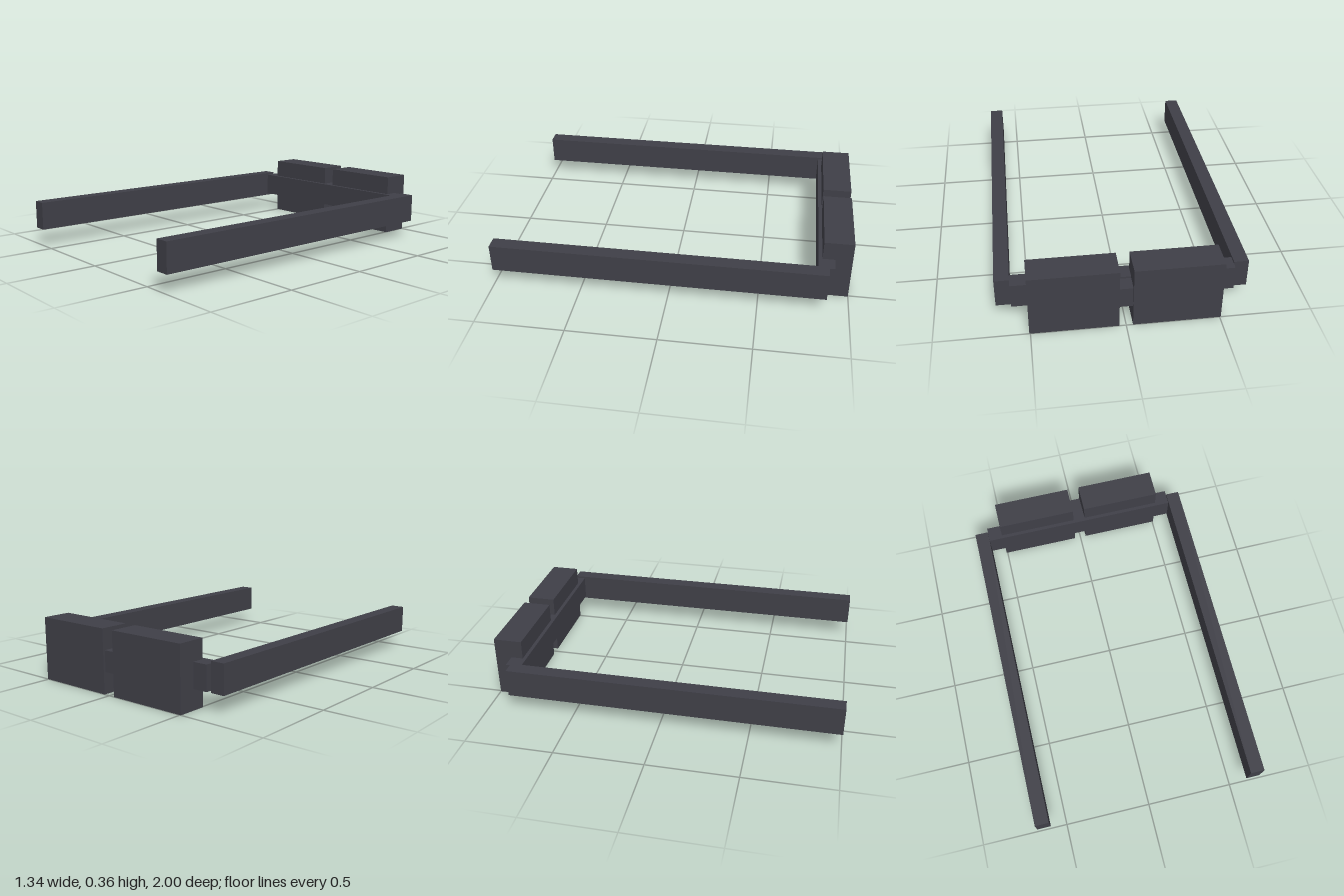
import * as THREE from 'three';

export function createModel() {
  const model = new THREE.Group();
  model.name = 'forkFrame';
  const darkSteel = new THREE.MeshStandardMaterial({ color: 0x3f3f47 });
  darkSteel.name = 'dark steel';

  // Box given by its extents on each axis
  function addBox(name, [x0, x1], [y0, y1], [z0, z1]) {
    const mesh = new THREE.Mesh(new THREE.BoxGeometry(x1 - x0, y1 - y0, z1 - z0), darkSteel);
    mesh.position.set((x0 + x1) / 2, (y0 + y1) / 2, (z0 + z1) / 2);
    mesh.name = name;
    model.add(mesh);
  }

  // Rear crossbar and the short link between the blocks
  addBox('crossbar', [-0.59, 0.59], [0.11, 0.248], [-0.905, -0.815]);
  addBox('blockLink', [-0.06, 0.06], [0.12, 0.238], [-0.988, -0.89]);

  // Long arms and rear blocks, mirrored
  for (const [side, s] of [['left', 1], ['right', -1]]) {
    const span = (a, b) => (s > 0 ? [a, b] : [-b, -a]);
    addBox(side + 'Arm', span(0.59, 0.67), [0.098, 0.26], [-0.872, 1]);
    addBox(side + 'Block', span(0.036, 0.506), [0, 0.356], [-1, -0.836]);
  }
  return model;
}
